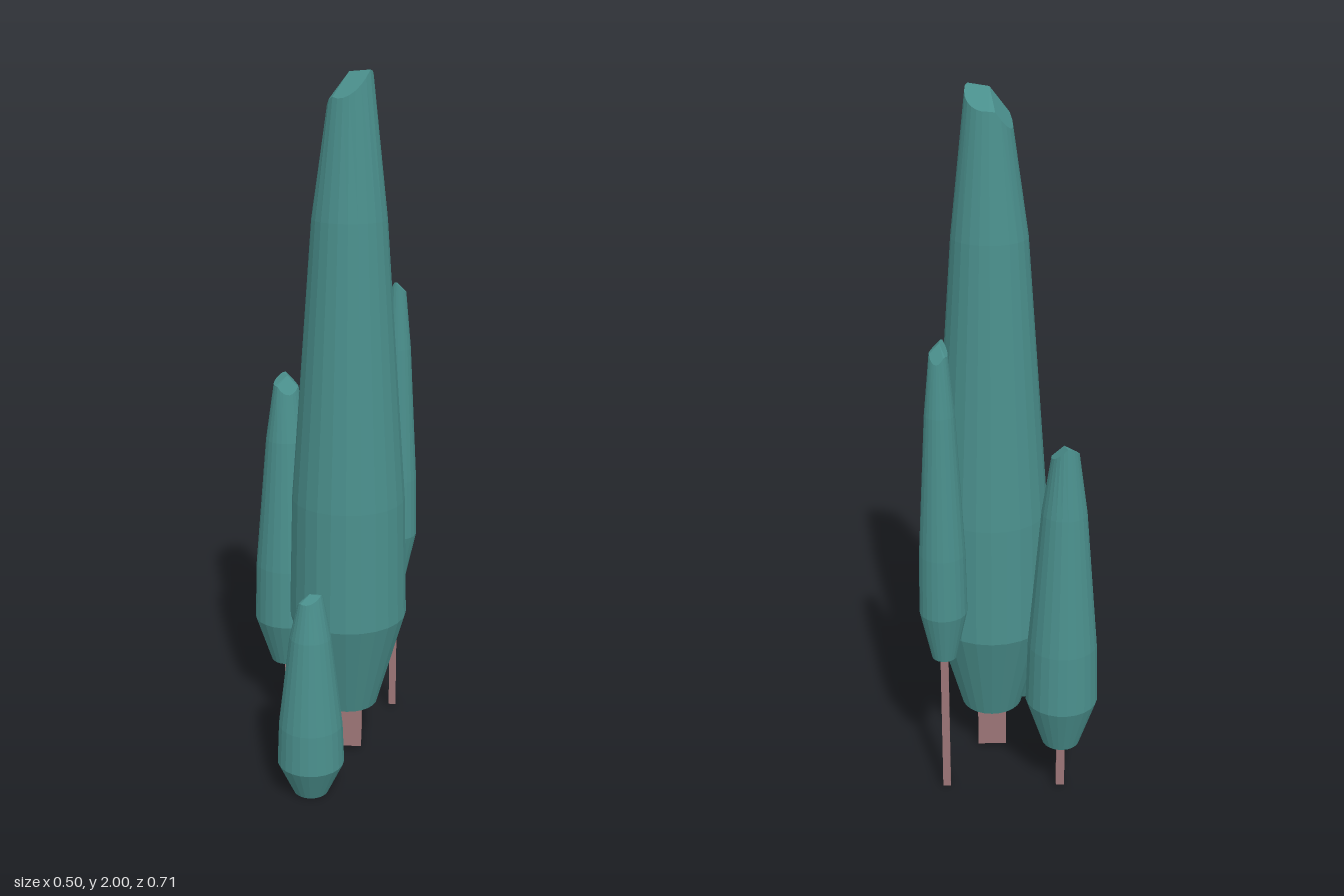
import * as THREE from 'three';

const leafMaterial = new THREE.MeshStandardMaterial({ color: 0x4a8f8c, flatShading: true });
const barkMaterial = new THREE.MeshStandardMaterial({ color: 0x9c7577, flatShading: true });

// Crown of unit radius and unit height, its tip cut by three sloping planes
function crownGeometry() {
  const profile = [[0, 0], [0.52, 0], [1, 0.157], [0.95, 0.35], [0.61, 0.784], [0.366, 1], [0, 1]];
  const geometry = new THREE.LatheGeometry(profile.map(([r, y]) => new THREE.Vector2(r, y)), 24);
  const apex = new THREE.Vector3(-0.012, 0.9946, 0.04);
  const slopes = [[0.145, 0.046], [-0.008, 0.071], [0.052, -0.1]];
  const p = geometry.attributes.position;
  for (let i = 0; i < p.count; i++) {
    if (p.getY(i) < 0.999) continue;
    const x = p.getX(i), z = p.getZ(i);
    if (Math.hypot(x, z) < 0.01) {
      p.setXYZ(i, apex.x, apex.y, apex.z);
    } else {
      const drops = slopes.map(([a, b]) => a * (x - apex.x) + b * (z - apex.z));
      p.setY(i, Math.min(1, apex.y + Math.min(...drops)));
    }
  }
  geometry.computeVertexNormals();
  return geometry;
}

export function createModel() {
  const model = new THREE.Group();
  const crown = crownGeometry();

  // Position, crown span, radius, turn and trunk width of each tree
  const trees = [
    { name: 'tallTree', x: 0.05, z: -0.015, bottom: 0.15, top: 2.0, radius: 0.172, turn: 0, trunk: 0.085 },
    { name: 'backRightTree', x: -0.149, z: -0.254, bottom: 0.163, top: 1.1, radius: 0.103, turn: 2.2, trunk: 0.024 },
    { name: 'backLeftTree', x: 0.184, z: -0.254, bottom: 0.45, top: 1.387, radius: 0.067, turn: -1.5, trunk: 0.022 },
    { name: 'frontShrub', x: -0.043, z: 0.26, bottom: 0, top: 0.614, radius: 0.095, turn: 0, trunk: 0 },
  ];

  for (const t of trees) {
    const tree = new THREE.Group();
    tree.name = t.name;
    tree.position.set(t.x, 0, t.z);

    const leaves = new THREE.Mesh(crown, leafMaterial);
    leaves.name = 'crown';
    leaves.scale.set(t.radius, t.top - t.bottom, t.radius);
    leaves.position.y = t.bottom;
    leaves.rotation.y = t.turn;
    tree.add(leaves);

    // Square trunk from the ground to the crown
    if (t.trunk) {
      const ground = 0.01, height = t.bottom - ground;
      const trunk = new THREE.Mesh(new THREE.BoxGeometry(t.trunk, height, t.trunk), barkMaterial);
      trunk.name = 'trunk';
      trunk.position.y = ground + height / 2;
      tree.add(trunk);
    }
    model.add(tree);
  }
  return model;
}
